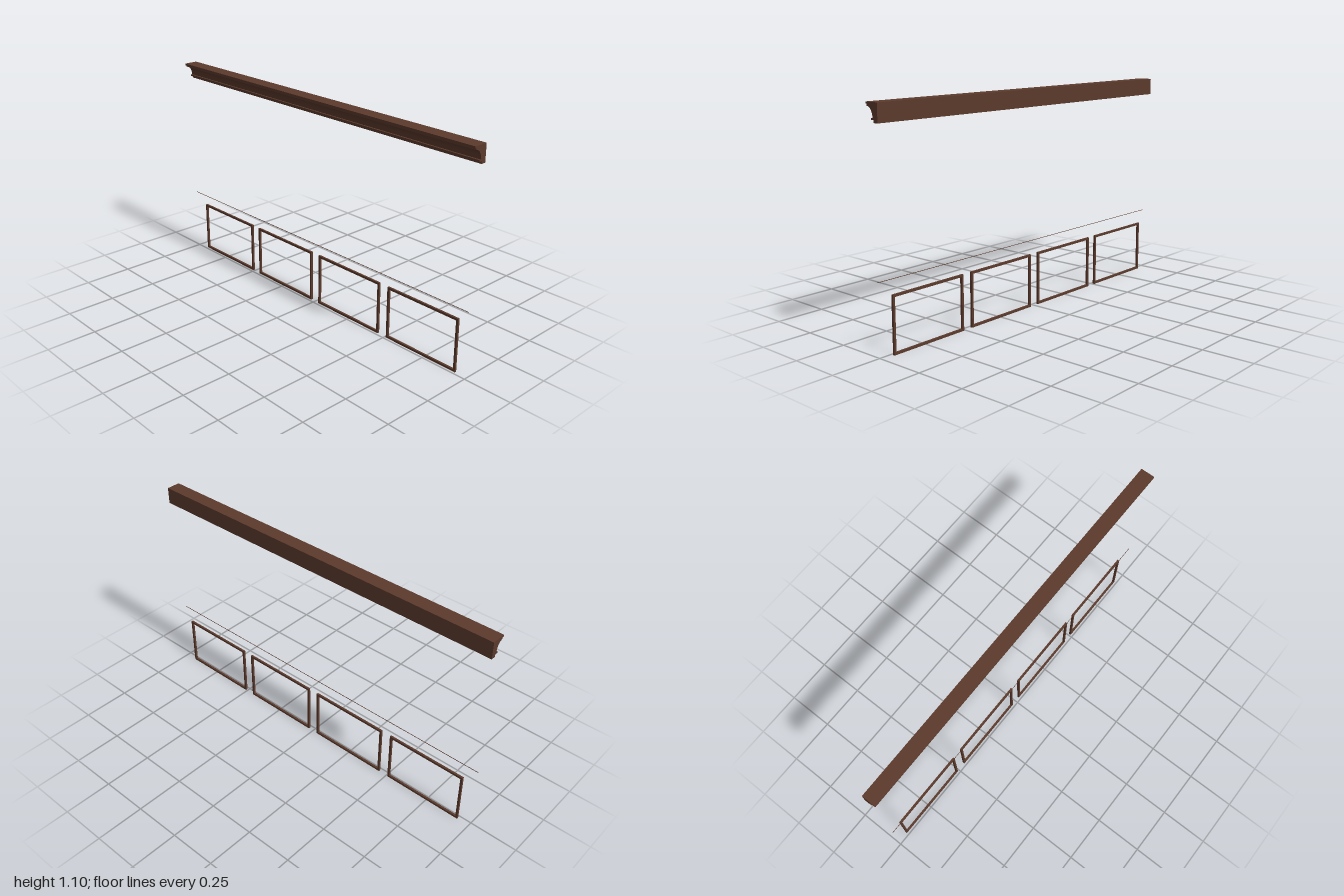
import * as THREE from 'three';
import { toCreasedNormals } from 'three/addons/utils/BufferGeometryUtils.js';

const wood = new THREE.MeshStandardMaterial({ color: 0x5c3a2c });
wood.name = 'dark walnut';

// Crown moulding: side profile (z, y) swept along the whole width
function crownMoulding() {
  const s = new THREE.Shape();
  s.moveTo(-0.0365, 1.018);
  s.lineTo(-0.012, 1.018);
  s.lineTo(-0.012, 1.03);
  s.lineTo(0.003, 1.03); // lower bead
  s.lineTo(0.003, 1.038);
  s.lineTo(-0.006, 1.038);
  s.absellipse(0.028, 1.038, 0.034, 0.048, Math.PI, Math.PI / 2, true); // cove
  s.lineTo(0.028, 1.095);
  s.lineTo(0.0365, 1.095); // top lip
  s.lineTo(0.0365, 1.104);
  s.lineTo(-0.0365, 1.104);
  s.closePath();
  const g = new THREE.ExtrudeGeometry(s, { depth: 2, bevelEnabled: false, curveSegments: 12 });
  g.rotateY(-Math.PI / 2).translate(1, 0, 0);
  const mesh = new THREE.Mesh(toCreasedNormals(g, 0.5), wood);
  mesh.name = 'crownMoulding';
  return mesh;
}

// Clockwise or counter-clockwise rectangle outline
function rectangle(Type, x0, y0, x1, y1) {
  const p = new Type();
  p.moveTo(x0, y0);
  p.lineTo(x1, y0);
  p.lineTo(x1, y1);
  p.lineTo(x0, y1);
  p.closePath();
  return p;
}

// Rectangular panel trim with an open middle
function panelFrameGeometry(width, height, bar, depth) {
  const w = width / 2;
  const s = rectangle(THREE.Shape, -w, 0, w, height);
  s.holes.push(rectangle(THREE.Path, -w + bar, bar, w - bar, height - bar));
  return new THREE.ExtrudeGeometry(s, { depth, bevelEnabled: false });
}

export function createModel() {
  const group = new THREE.Group();
  group.name = 'wallTrim';
  group.add(crownMoulding());

  // Thin rail line above the panels
  const rail = new THREE.Mesh(new THREE.BoxGeometry(2, 0.002, 0.002), wood);
  rail.name = 'thinRail';
  rail.position.set(0, 0.338, 0);
  group.add(rail);

  // Row of four panel frames
  const frameGeometry = panelFrameGeometry(0.427, 0.274, 0.011, 0.011);
  for (let i = 0; i < 4; i++) {
    const frame = new THREE.Mesh(frameGeometry, wood);
    frame.name = `panelFrame${i + 1}`;
    frame.position.set((i - 1.5) * 0.481, 0, -0.023);
    group.add(frame);
  }
  return group;
}
